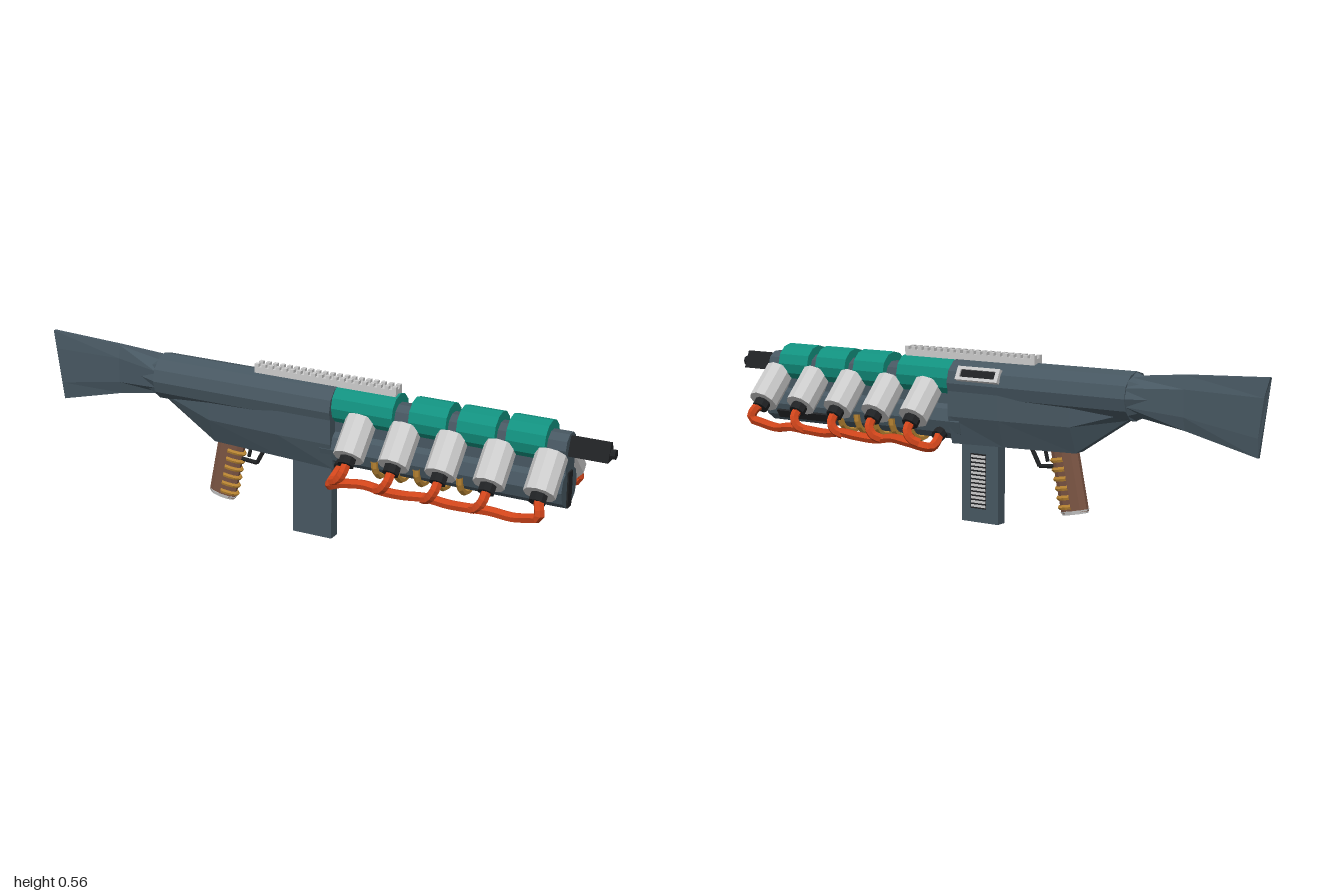
import * as THREE from 'three';

const mat = (color) => new THREE.MeshStandardMaterial({ color, flatShading: true });
const Z0 = 0.008; // centre plane of the body
const V = (x, y, z) => new THREE.Vector3(x, y, z);

export function createModel() {
  const root = new THREE.Group();
  const steel = mat(0x475761), teal = mat(0x12917f), grey = mat(0xcccccc), orange = mat(0xd0451b);
  const brass = mat(0xc08a35), brown = mat(0x7a5443), black = mat(0x202224);

  const add = (name, geo, m, parent = root) => {
    const mesh = new THREE.Mesh(geo, m);
    mesh.name = name;
    parent.add(mesh);
    return mesh;
  };
  const box = (name, x, y, z, w, h, d, m, parent) => {
    const b = add(name, new THREE.BoxGeometry(w, h, d), m, parent);
    b.position.set(x, y, z);
    return b;
  };
  // cylinder between two points
  const rod = (name, a, b, r, sides, m, r2 = r) => {
    const dir = b.clone().sub(a);
    const c = add(name, new THREE.CylinderGeometry(r2, r, dir.length(), sides), m);
    c.position.copy(a).add(b).multiplyScalar(0.5);
    c.quaternion.setFromUnitVectors(V(0, 1, 0), dir.normalize());
    return c;
  };
  const tube = (name, pts, r, sides, m, seg) =>
    add(name, new THREE.TubeGeometry(new THREE.CatmullRomCurve3(pts), seg, r, sides), m);
  // skin over rings of points running along +x, with end caps
  const loft = (name, rings, m) => {
    const n = rings[0].length, pos = [], idx = [];
    rings.forEach((r) => r.forEach((p) => pos.push(p.x, p.y, p.z)));
    for (let i = 0; i < rings.length - 1; i++) {
      for (let j = 0; j < n; j++) {
        const a = i * n + j, b = i * n + (j + 1) % n;
        idx.push(a, b, b + n, a, b + n, a + n);
      }
    }
    const last = (rings.length - 1) * n;
    for (let j = 1; j < n - 1; j++) idx.push(0, j + 1, j, last, last + j, last + j + 1);
    const g = new THREE.BufferGeometry();
    g.setAttribute('position', new THREE.Float32BufferAttribute(pos, 3));
    g.setIndex(idx);
    g.computeVertexNormals();
    return add(name, g, m);
  };

  // receiver: round upper and faceted lower housing
  rod('receiver', V(-0.56, 0.454, Z0), V(0.09, 0.454, Z0), 0.077, 12, steel);
  loft('lowerReceiver', [
    [-0.54, 0.38, 0.02, 0.04], [-0.36, 0.262, 0.022, 0.06],
    [-0.1, 0.258, 0.035, 0.07], [0.09, 0.255, 0.045, 0.07],
  ].map(([x, bot, wBot, wMid]) => {
    const mid = bot + (0.42 - bot) * 0.55;
    return [[0.44, wMid], [mid, wMid], [bot, wBot], [bot, -wBot], [mid, -wMid], [0.44, -wMid]]
      .map(([y, z]) => V(x, y, Z0 + z));
  }), steel);

  // stock: flares from a neck into a thin, tall blade with a concave butt
  loft('stock', [
    [-0.985, 0.545, 0.305, 0.013, 0.016], [-0.73, 0.533, 0.365, 0.02, 0],
    [-0.56, 0.515, 0.4, 0.065, 0], [-0.54, 0.515, 0.4, 0.065, 0],
  ].map(([x, top, bot, w, lean]) => {
    const at = (t) => top + (bot - top) * t;
    return [[0, 0.45], [0.25, 1], [0.5, 1], [0.75, 1], [1, 0.45], [1, -0.45], [0.75, -1], [0.5, -1], [0.25, -1], [0, -0.45]]
      .map(([t, k]) => V(x + lean * (2 * t - 1) + (t > 0.2 && t < 0.8 ? lean * 0.4 : 0), at(t), Z0 + w * k));
  }), steel);
  // faceted shoulder between stock and receiver
  rod('stockShoulder', V(-0.7, 0.454, Z0), V(-0.56, 0.454, Z0), 0.016, 8, steel, 0.075);

  // fore-end: barrel, web and round lower housing
  rod('barrel', V(0.05, 0.456, Z0), V(0.86, 0.456, Z0), 0.046, 10, steel);
  box('foreEndWeb', 0.475, 0.4, Z0, 0.77, 0.14, 0.07, steel);
  rod('foreEnd', V(0.05, 0.328, Z0), V(0.86, 0.328, Z0), 0.066, 10, steel);
  box('frontPlate', 0.857, 0.322, Z0 + 0.002, 0.016, 0.115, 0.032, black);
  const slot = box('sideSlot', 0.7, 0.295, Z0 - 0.054, 0.22, 0.03, 0.012, black);
  slot.rotation.x = -0.55;

  // teal barrel sleeves
  for (const [a, b] of [[0.09, 0.3], [0.355, 0.48], [0.515, 0.64], [0.675, 0.8]]) {
    rod('barrelSleeve', V(a, 0.466, Z0), V(b, 0.466, Z0), 0.064, 12, teal);
  }

  // three-sided muzzle with a round bore
  const muzzle = new THREE.Shape();
  muzzle.moveTo(-0.028, 0.435).lineTo(0.028, 0.435).lineTo(0.006, 0.491).lineTo(-0.006, 0.491).closePath();
  const bore = new THREE.Path();
  bore.absarc(0, 0.454, 0.012, 0, Math.PI * 2, true);
  muzzle.holes.push(bore);
  const muzzleMesh = add('muzzle', new THREE.ExtrudeGeometry(muzzle, { depth: 0.13, bevelEnabled: false, curveSegments: 5 }), black);
  muzzleMesh.rotation.y = Math.PI / 2;
  muzzleMesh.position.set(0.855, 0, Z0);
  rod('muzzleCore', V(0.85, 0.456, Z0), V(1, 0.456, Z0), 0.016, 8, black);

  // canisters, caps and hoses on both sides
  const canX = [0.185, 0.338, 0.495, 0.653, 0.815];
  for (const s of [1, -1]) {
    const P = (x, y, z) => V(x, y, Z0 + s * z);
    canX.forEach((x, i) => {
      rod('canister', P(x, 0.435, 0.038), P(x, 0.341, 0.13), 0.05, 10, grey);
      rod('canisterCap', P(x, 0.345, 0.126), P(x, 0.322, 0.148), 0.027, 8, black);
      if (i < 4) {
        tube('branchHose', [P(x, 0.332, 0.138), P(x - 0.002, 0.302, 0.164), P(x - 0.02, 0.276, 0.165), P(x - 0.045, 0.265, 0.155)], 0.016, 6, orange, 8);
      }
    });
    const low = s > 0 ? 0 : 0.012;
    const path = [P(0.13, 0.286, 0.06), P(0.118, 0.255 + low, 0.09), P(0.118, 0.238 + low, 0.125)];
    for (let i = 0; i < 9; i++) {
      path.push(P(0.18 + i * 0.07, 0.266 + 0.006 * Math.sin(i * 2.1), 0.153 + 0.007 * Math.cos(i * 1.9)));
    }
    path.push(P(0.8, 0.275, 0.16), P(0.832, 0.288, 0.17), P(0.828, 0.315, 0.163), P(0.815, 0.334, 0.136));
    tube('mainHose', path, 0.016, 6, orange, 60);
    rod('hosePlug', P(0.13, 0.295, 0.035), P(0.128, 0.277, 0.075), 0.022, 8, black);
  }

  // brass hoops beneath the fore-end
  for (let i = 0; i < 5; i++) {
    const hoop = add('brassHoop', new THREE.TorusGeometry(0.069, 0.011, 6, 10, Math.PI), brass);
    hoop.rotation.set(0, Math.PI / 2, Math.PI);
    hoop.position.set(0.245 + i * 0.072, 0.32, Z0);
  }

  // top rail with two rows of teeth
  const rail = new THREE.Group();
  rail.name = 'topRail';
  root.add(rail);
  box('railBase', 0.043, 0.534, Z0, 0.5, 0.022, 0.044, grey, rail);
  for (let i = 0; i < 20; i++) {
    for (const s of [1, -1]) {
      box('railTooth', -0.2 + i * 0.0256, 0.549, Z0 + s * 0.0145, 0.014, 0.012, 0.015, grey, rail);
    }
  }

  // ejection port on the right side of the receiver
  const port = new THREE.Group();
  port.name = 'ejectionPort';
  port.position.set(-0.03, 0.487, Z0 - 0.07);
  port.rotation.x = 0.47;
  root.add(port);
  for (const s of [1, -1]) {
    box('portEdge', 0, s * 0.018, 0, 0.16, 0.01, 0.02, grey, port);
    box('portEnd', s * 0.073, 0, 0, 0.014, 0.046, 0.02, grey, port);
  }
  box('portOpening', 0, 0, 0.003, 0.14, 0.03, 0.014, black, port);

  // magazine with a slatted window at the back
  box('magazine', 0, 0.14, Z0, 0.14, 0.28, 0.04, steel);
  box('magazineWindow', 0.005, 0.135, Z0 - 0.0195, 0.06, 0.18, 0.003, black);
  for (let i = 0; i < 13; i++) {
    box('magazineSlat', 0.005, 0.054 + i * 0.0135, Z0 - 0.02, 0.056, 0.008, 0.005, grey);
  }

  // raked grip with brass finger ridges and a grey foot
  const grip = new THREE.Group();
  grip.name = 'grip';
  grip.position.set(-0.327, 0.17, Z0);
  grip.rotation.z = -0.2;
  root.add(grip);
  const handle = add('gripHandle', new THREE.CylinderGeometry(0.05, 0.05, 0.2, 10), brown, grip);
  handle.scale.z = 0.42;
  const foot = add('gripFoot', new THREE.CylinderGeometry(0.052, 0.046, 0.012, 10), grey, grip);
  foot.scale.z = 0.43;
  foot.position.y = -0.1;
  for (let i = 0; i < 6; i++) {
    const ridge = add('gripRidge', new THREE.TorusGeometry(0.049, 0.008, 5, 8, Math.PI), brass, grip);
    ridge.rotation.set(Math.PI / 2, 0, -Math.PI / 2);
    ridge.scale.y = 1.05;
    ridge.scale.x = 0.43;
    ridge.position.y = -0.08 + i * 0.03;
  }

  // trigger and guard
  const guard = [V(-0.28, 0.21, Z0), V(-0.215, 0.205, Z0), V(-0.185, 0.26, Z0)];
  for (let i = 0; i < 2; i++) rod('triggerGuard', guard[i], guard[i + 1], 0.007, 6, black);
  rod('trigger', V(-0.235, 0.262, Z0), V(-0.245, 0.222, Z0), 0.006, 6, black);

  return root;
}
